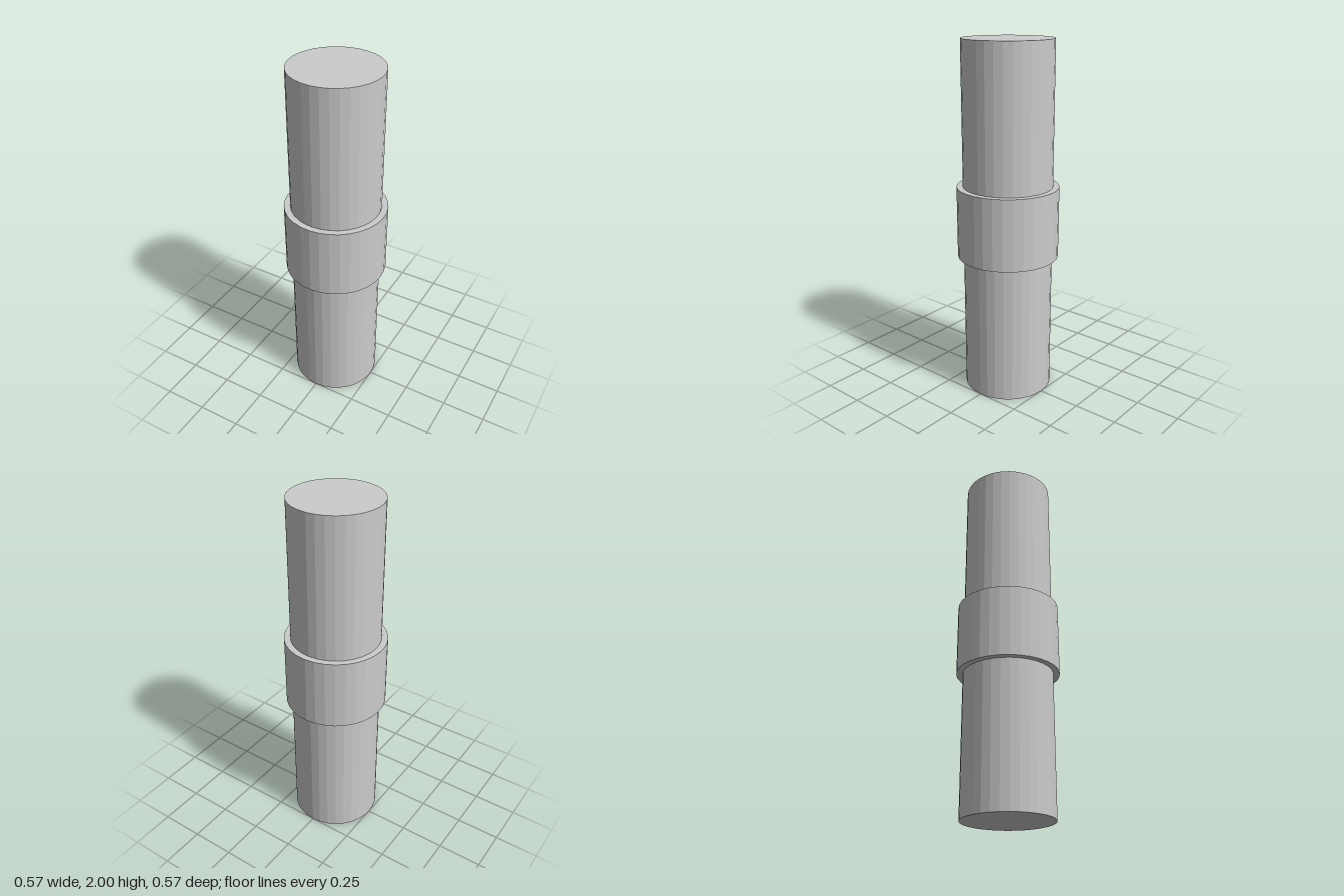
import * as THREE from 'three';

const SIDES = 32;

export function createModel() {
  const model = new THREE.Group();
  model.name = 'collaredRod';
  const material = new THREE.MeshStandardMaterial({ color: 0xcccccc, flatShading: true });

  // Faceted upright cylinder centred at y = 1
  const addCylinder = (name, radius, height) => {
    const mesh = new THREE.Mesh(new THREE.CylinderGeometry(radius, radius, height, SIDES), material);
    mesh.name = name;
    mesh.position.y = 1;
    model.add(mesh);
  };

  // Full-height shaft
  addCylinder('shaft', 0.251, 2);
  // Wider band around the middle
  addCylinder('collar', 0.286, 0.405);

  return model;
}
